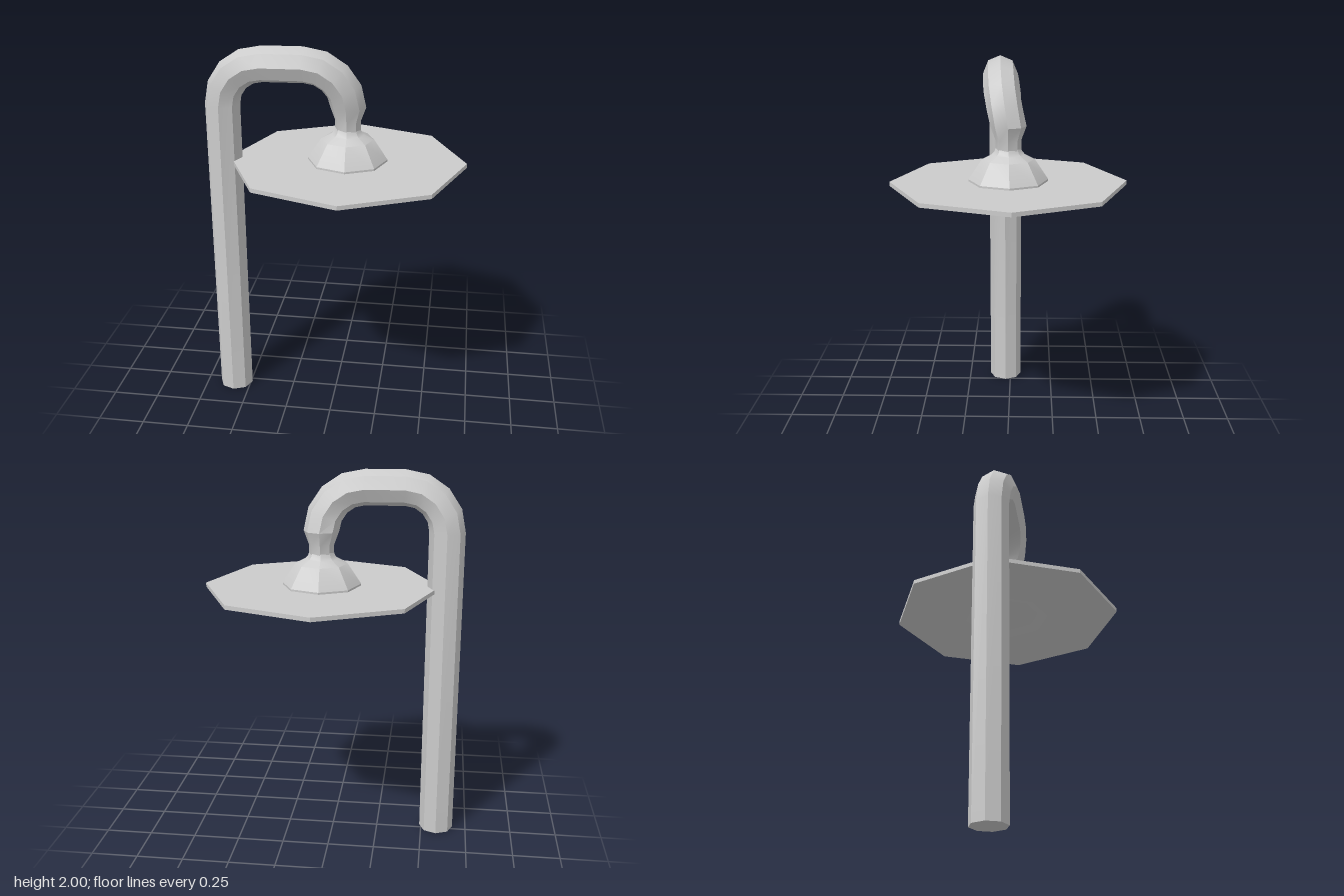
import * as THREE from 'three';
import { toCreasedNormals } from 'three/addons/utils/BufferGeometryUtils.js';

const SIDES = 8;
const material = new THREE.MeshStandardMaterial({ color: 0xcccccc });
const flatMaterial = new THREE.MeshStandardMaterial({ color: 0xcccccc, flatShading: true });

// Joins octagonal rings { x, y, z, r, a }; a is the travel angle from straight up towards +x.
function sweep(rings) {
  const pos = [], index = [];
  for (const { x, y, z, r, a } of rings) {
    for (let j = 0; j < SIDES; j++) {
      const t = (j / SIDES) * Math.PI * 2, u = r * Math.cos(t), v = r * Math.sin(t);
      pos.push(x - u * Math.cos(a), y + u * Math.sin(a), z + v);
    }
  }
  for (let i = 0; i < rings.length - 1; i++) {
    for (let j = 0; j < SIDES; j++) {
      const k = (j + 1) % SIDES, p = i * SIDES, q = p + SIDES;
      index.push(p + j, p + k, q + k, p + j, q + k, q + j);
    }
  }
  // Cap on the foot
  for (let j = 1; j < SIDES - 1; j++) index.push(0, j + 1, j);
  const g = new THREE.BufferGeometry();
  g.setAttribute('position', new THREE.Float32BufferAttribute(pos, 3));
  g.setIndex(index);
  return toCreasedNormals(g, Math.PI / 6);
}

function lathe(points) {
  return new THREE.LatheGeometry(points.map(([r, y]) => new THREE.Vector2(r, y)), SIDES);
}

export function createModel() {
  const model = new THREE.Group();
  const add = (name, geometry, mat, parent) => {
    const mesh = new THREE.Mesh(geometry, mat);
    mesh.name = name;
    parent.add(mesh);
  };

  // Upright pole bending over in two quarter turns, down to a narrow neck
  const R = 0.219, r = 0.093, bendY = 1.688;
  const rings = [{ x: -0.584, y: 0, z: 0.03, r, a: 0 }];
  const bend = (cx, start, depths) => depths.forEach((z, i) => {
    const a = start + (i * Math.PI) / 8;
    rings.push({ x: cx - R * Math.cos(a), y: bendY + R * Math.sin(a), z, r, a });
  });
  bend(-0.365, 0, [0.03, 0.035, 0.043, 0.05, 0.053]);
  bend(-0.157, Math.PI / 2, [0.046, 0.042, 0.034, 0.019, 0]);
  rings.push({ x: 0.062, y: 1.615, z: 0, r: 0.066, a: Math.PI });
  rings.push({ x: 0.062, y: 1.52, z: 0, r: 0.066, a: Math.PI });
  add('pole', sweep(rings), material, model);

  // Lamp head, turned slightly about its own axis
  const head = new THREE.Group();
  head.name = 'lampHead';
  head.position.set(0.061, 0, 0);
  head.rotation.y = 0.045;
  model.add(head);

  // Faceted socket
  const socket = lathe([[0.207, 1.39], [0.207, 1.41], [0.136, 1.517], [0.085, 1.543], [0.071, 1.558], [0.06, 1.59]]);
  add('socket', toCreasedNormals(socket, Math.PI / 6), material, head);

  // Thin shade with a shallow recess underneath
  const shade = lathe([[0, 1.396], [0.177, 1.396], [0.23, 1.378], [0.617, 1.378], [0.617, 1.4], [0, 1.4]]);
  add('shade', shade, flatMaterial, head);

  return model;
}
